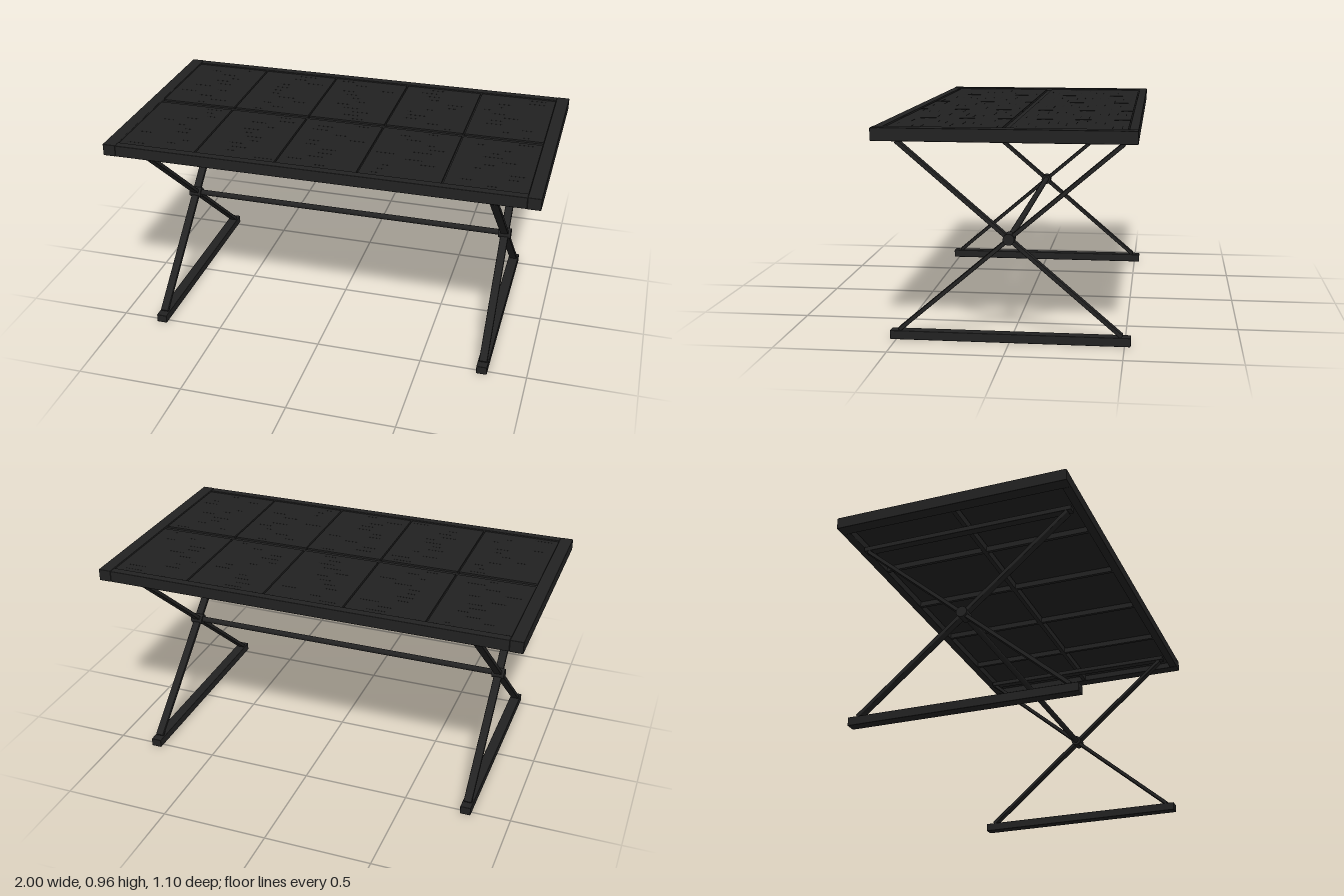
import * as THREE from 'three';
import { RoundedBoxGeometry } from 'three/addons/geometries/RoundedBoxGeometry.js';

export function createModel() {
  const model = new THREE.Group();
  model.name = 'crossLegTable';

  const mat = (name, color) => {
    const m = new THREE.MeshStandardMaterial({ color });
    m.name = name;
    return m;
  };
  const frameMat = mat('black frame', 0x222222);
  const panelMat = mat('charcoal panel', 0x212121);
  const grainMat = mat('dark grain', 0x1a1a1a);

  const add = (name, geometry, material, x, y, z, parent = model) => {
    const mesh = new THREE.Mesh(geometry, material);
    mesh.name = name;
    mesh.position.set(x, y, z);
    parent.add(mesh);
    return mesh;
  };
  const bar = (w, h, d) => new RoundedBoxGeometry(w, h, d, 1, 0.003);

  // Outer rails of the table top
  for (const s of [-1, 1]) {
    add('endRail', bar(0.06, 0.056, 1.1), frameMat, s * 0.97, 0.928, 0);
    add('longRail', bar(1.88, 0.054, 0.04), frameMat, 0, 0.928, s * 0.53);
  }

  // Ribs carrying the panels
  add('centreRib', new THREE.BoxGeometry(1.88, 0.04, 0.02), frameMat, 0, 0.924, 0);
  for (const x of [-0.567, -0.189, 0.189, 0.567]) {
    add('crossRib', new THREE.BoxGeometry(0.016, 0.036, 1.02), frameMat, x, 0.922, 0);
  }

  // Two rows of five panels, each with a few fine grain lines along x
  let seed = 7;
  const rand = () => (seed = (seed * 16807) % 2147483647) / 2147483647;
  const edges = [-0.938, -0.567, -0.189, 0.189, 0.567, 0.938];
  for (const s of [-1, 1]) {
    for (let i = 0; i < 5; i++) {
      const inset0 = i === 0 ? 0 : 0.004, inset1 = i === 4 ? 0 : 0.004;
      const x0 = edges[i] + inset0, x1 = edges[i + 1] - inset1;
      const panel = new THREE.Group();
      panel.name = 'topPanel';
      panel.position.set((x0 + x1) / 2, 0.94, s * 0.26);
      model.add(panel);
      add('panelBoard', new THREE.BoxGeometry(x1 - x0, 0.02, 0.49), panelMat, 0, 0, 0, panel);
      for (let k = 0; k < 12; k++) {
        const len = 0.03 + rand() * 0.06;
        add('grainLine', new THREE.BoxGeometry(len, 0.001, 0.0025), grainMat,
          (rand() - 0.5) * (x1 - x0 - 0.12), 0.0102, -0.22 + k * 0.04, panel);
      }
    }
  }

  // Crossed legs with top bearer, foot and pivot at each end
  const run = 0.975, rise = 0.835;
  for (const s of [-1, 1]) {
    const trestle = new THREE.Group();
    trestle.name = s > 0 ? 'leftTrestle' : 'rightTrestle';
    trestle.position.x = s * 0.794;
    model.add(trestle);
    for (const t of [-1, 1]) {
      const leg = add('crossLeg', bar(0.038, 0.018, Math.hypot(run, rise)), frameMat, 0, 0.459, 0, trestle);
      leg.rotation.x = t * Math.atan2(rise, run);
    }
    add('topBearer', bar(0.04, 0.024, 1.014), frameMat, 0, 0.889, 0, trestle);
    add('foot', bar(0.05, 0.04, 1.054), frameMat, 0, 0.02, 0, trestle);
    const hub = add('pivotHub', new THREE.CylinderGeometry(0.025, 0.025, 0.06, 24), frameMat, 0, 0.46, 0, trestle);
    hub.rotation.z = Math.PI / 2;
  }

  // Stretcher between the pivots
  const stretcher = add('stretcher', new THREE.CylinderGeometry(0.014, 0.014, 1.56, 16), frameMat, 0, 0.461, 0);
  stretcher.rotation.z = Math.PI / 2;

  return model;
}
